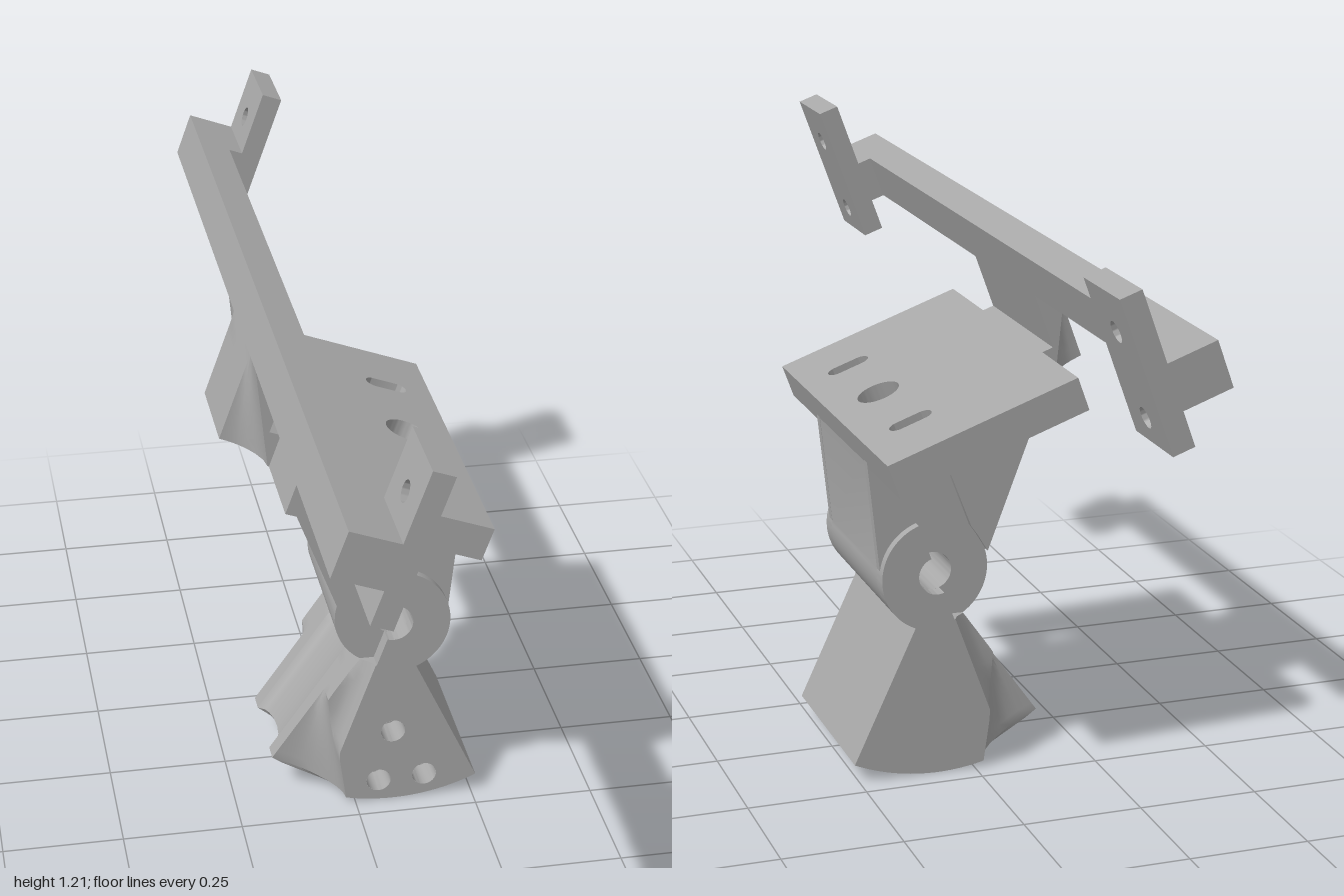
import * as THREE from 'three';
import { mergeGeometries, toCreasedNormals } from 'three/addons/utils/BufferGeometryUtils.js';

const lerp = THREE.MathUtils.lerp, clamp = THREE.MathUtils.clamp;
const V = (x, y) => new THREE.Vector2(x, y);
const TILT = THREE.MathUtils.degToRad(20);
const PIN = V(0.08, 0.433);

// Closed solid from matching cross-sections stacked along z, with optional holes in the front cap
function loft(zs, ring, holes = []) {
  const rings = zs.map(ring), n = rings[0].length, pos = [], idx = [];
  rings.forEach((r, k) => r.forEach(p => pos.push(p.x, p.y, zs[k])));
  for (let k = 0; k < zs.length - 1; k++) {
    for (let i = 0; i < n; i++) {
      const a = k * n + i, b = k * n + (i + 1) % n;
      idx.push(a, b, b + n, a, b + n, a + n);
    }
  }
  const sides = new THREE.BufferGeometry();
  sides.setAttribute('position', new THREE.Float32BufferAttribute(pos, 3));
  sides.setIndex(idx);
  const cap = (k, cut) => {
    const shape = new THREE.Shape(rings[k]);
    shape.holes = cut;
    const g = new THREE.ShapeGeometry(shape, 20).translate(0, 0, zs[k]);
    if (k === 0) g.setIndex(Array.from(g.index.array).reverse());
    return g;
  };
  const parts = [sides, cap(0, []), cap(zs.length - 1, holes)].map(g => {
    const f = g.toNonIndexed();
    f.deleteAttribute('uv');
    f.deleteAttribute('normal');
    return f;
  });
  return mergeGeometries(parts);
}

const mirrored = list => [...list.slice(1).reverse().map(z => -z), ...list];
const circle = (x, y, r) => new THREE.Path().absarc(x, y, r, 0, Math.PI * 2, true);
// Concave quarter-round weight: 0 at z0, 1 at z1
const scoop = (z, z0, z1) => {
  const t = clamp((Math.abs(z) - z0) / (z1 - z0), 0, 1);
  return Math.sqrt(1 - (1 - t) ** 2);
};

function extrude(shape, z0, z1) {
  return new THREE.ExtrudeGeometry(shape, { depth: z1 - z0, bevelEnabled: false, curveSegments: 24 })
    .translate(0, 0, z0);
}

// Fan-shaped foot: scooped back corners, screw channels and a curved base
function fanGeometry(holes) {
  const R = 0.431, apex = 0.37, end = Math.atan2(-0.393, 0.18);
  const ring = z => {
    const pts = [], w = scoop(z, 0.12, 0.2), az = Math.abs(z);
    for (let i = 0; i <= 16; i++) {
      const s = i / 16;
      const p = V(lerp(0.015, -0.165, s), lerp(0.335, 0.08, s));
      if (s > apex) {
        const t = (s - apex) / (1 - apex);
        p.lerp(V(lerp(-0.052, -0.02, t), lerp(0.241, 0.014, t)), w);
      }
      if (az < 0.08) p.x += 0.03 * Math.sqrt(1 - (az / 0.08) ** 2);
      if (az > 0.165) {
        const off = Math.sqrt(Math.max(0, 0.05 ** 2 - (az - 0.215) ** 2));
        p.x = Math.max(p.x, 0.125 - (0.702 - p.y) * 0.364 + off / Math.cos(TILT));
      }
      pts.push(p);
    }
    const last = pts[16], start = Math.atan2(last.y - PIN.y, last.x - PIN.x);
    for (let i = 1; i <= 16; i++) {
      const a = lerp(start, end, i / 16);
      pts.push(V(PIN.x + R * Math.cos(a), PIN.y + R * Math.sin(a)));
    }
    pts.push(V(0.123, 0.335));
    return pts;
  };
  const zs = [0, 0.03, 0.055, 0.07, 0.08, 0.12, 0.122, 0.127, 0.135, 0.15, 0.165, 0.167, 0.173, 0.185, 0.2];
  return loft(mirrored(zs), ring, holes);
}

// Lug under the rail, its back corners scooped away toward the bottom
function lugGeometry() {
  const ring = z => {
    const pts = [], w = scoop(z, 0.105, 0.18);
    for (let i = 0; i <= 8; i++) {
      const s = i / 8;
      pts.push(V(lerp(-0.094, lerp(-0.094, -0.003, s), w), 0.19 * (1 - s)));
    }
    pts.push(V(0.004, 0), V(0.004, 0.072), V(-0.024, 0.072), V(-0.024, 0.19));
    return pts;
  };
  return loft(mirrored([0, 0.105, 0.107, 0.112, 0.12, 0.135, 0.155, 0.18]), ring);
}

export function createModel() {
  const model = new THREE.Group();
  model.name = 'tiltingBracket';
  const gray = new THREE.MeshStandardMaterial({ color: 0xa8a8a8, side: THREE.DoubleSide });
  gray.name = 'plain gray';
  const add = (parent, name, geo) => {
    const mesh = new THREE.Mesh(toCreasedNormals(geo, 0.5), gray);
    mesh.name = name;
    parent.add(mesh);
  };
  const box = (u0, u1, v0, v1, z0, z1) => new THREE.BoxGeometry(u1 - u0, v1 - v0, z1 - z0)
    .translate((u0 + u1) / 2, (v0 + v1) / 2, (z0 + z1) / 2);

  // Foot with three blind holes on its front cheek
  const spots = [[0.08, 0.17], [0.05, 0.05], [0.148, 0.055]];
  add(model, 'foot', fanGeometry(spots.map(([x, y]) => circle(x, y, 0.026))));
  for (const [x, y] of spots) {
    add(model, 'blindHoleWall', new THREE.CylinderGeometry(0.026, 0.026, 0.07, 20, 1, true)
      .rotateX(Math.PI / 2).translate(x, y, 0.165));
    add(model, 'blindHoleFloor', new THREE.CircleGeometry(0.026, 20).translate(x, y, 0.13));
  }

  // Neck core with the rounded hinge end and through pin hole
  const neck = new THREE.Shape();
  neck.moveTo(0.222, 0.69).lineTo(-0.165, 0.815).lineTo(-0.032, 0.465);
  neck.absarc(PIN.x, PIN.y, 0.118, Math.PI - 0.28, Math.PI * 2 + 0.15, false);
  neck.closePath();
  neck.holes.push(circle(PIN.x, PIN.y, 0.04));
  add(model, 'neck', extrude(neck, -0.165, 0.165));

  // Neck cheeks either side of the screw channel, and the half-round hinge cheek
  const backCheek = new THREE.Shape([V(-0.165, 0.815), V(-0.034, 0.468), V(-0.012, 0.505), V(0.002, 0.525), V(0.08, 0.73)]);
  const frontCheek = new THREE.Shape([V(0.172, 0.705), V(0.113, 0.535), V(0.17, 0.50), V(0.197, 0.45), V(0.223, 0.69)]);
  const hinge = new THREE.Shape();
  const lo = -Math.PI / 2 - TILT, hi = Math.PI / 2 - TILT;
  hinge.absarc(PIN.x, PIN.y, 0.118, lo, hi, false);
  hinge.absarc(PIN.x, PIN.y, 0.04, hi, lo, true);
  for (const s of [1, -1]) {
    const layer = (name, shape, z) => add(model, name, s > 0 ? extrude(shape, 0.16, z) : extrude(shape, -z, -0.16));
    layer('neckBackCheek', backCheek, 0.18);
    layer('neckFrontCheek', frontCheek, 0.18);
    layer('hingeCheek', hinge, 0.2);
  }

  // Tilted head
  const head = new THREE.Group();
  head.name = 'head';
  head.position.set(-0.173, 0.81, 0);
  head.rotation.z = -TILT;
  model.add(head);

  // Mounting plate with a round hole and two slots
  const plate = new THREE.Shape([V(0, -0.38), V(0.415, -0.38), V(0.415, 0.38), V(0, 0.38)]);
  plate.holes.push(circle(0.309, 0, 0.045));
  for (const z of [-0.215, 0.215]) {
    const slot = new THREE.Path();
    slot.absarc(0.335, z, 0.02, -Math.PI / 2, Math.PI / 2, false);
    slot.absarc(0.283, z, 0.02, Math.PI / 2, Math.PI * 1.5, false);
    slot.closePath();
    plate.holes.push(slot);
  }
  add(head, 'mountingPlate', extrude(plate, 0, 0.072).rotateX(-Math.PI / 2));

  // Long rail and its lug
  add(head, 'rail', box(-0.094, -0.024, 0.19, 0.284, -1, 1));
  add(head, 'railLug', lugGeometry());

  // Drilled end brackets
  for (const s of [1, -1]) {
    const z = 0.915 * s;
    add(head, 'bracketArm', box(-0.024, 0.006, 0.19, 0.284, z - 0.085, z + 0.085));
    const tab = new THREE.Shape([V(-0.085, 0.119), V(0.085, 0.119), V(0.085, 0.428), V(-0.085, 0.428)]);
    tab.holes.push(circle(0, 0.172, 0.021), circle(0, 0.343, 0.021));
    add(head, 'bracketTab', extrude(tab, 0.006, 0.05).rotateY(Math.PI / 2).translate(0, 0, z));
  }
  return model;
}
